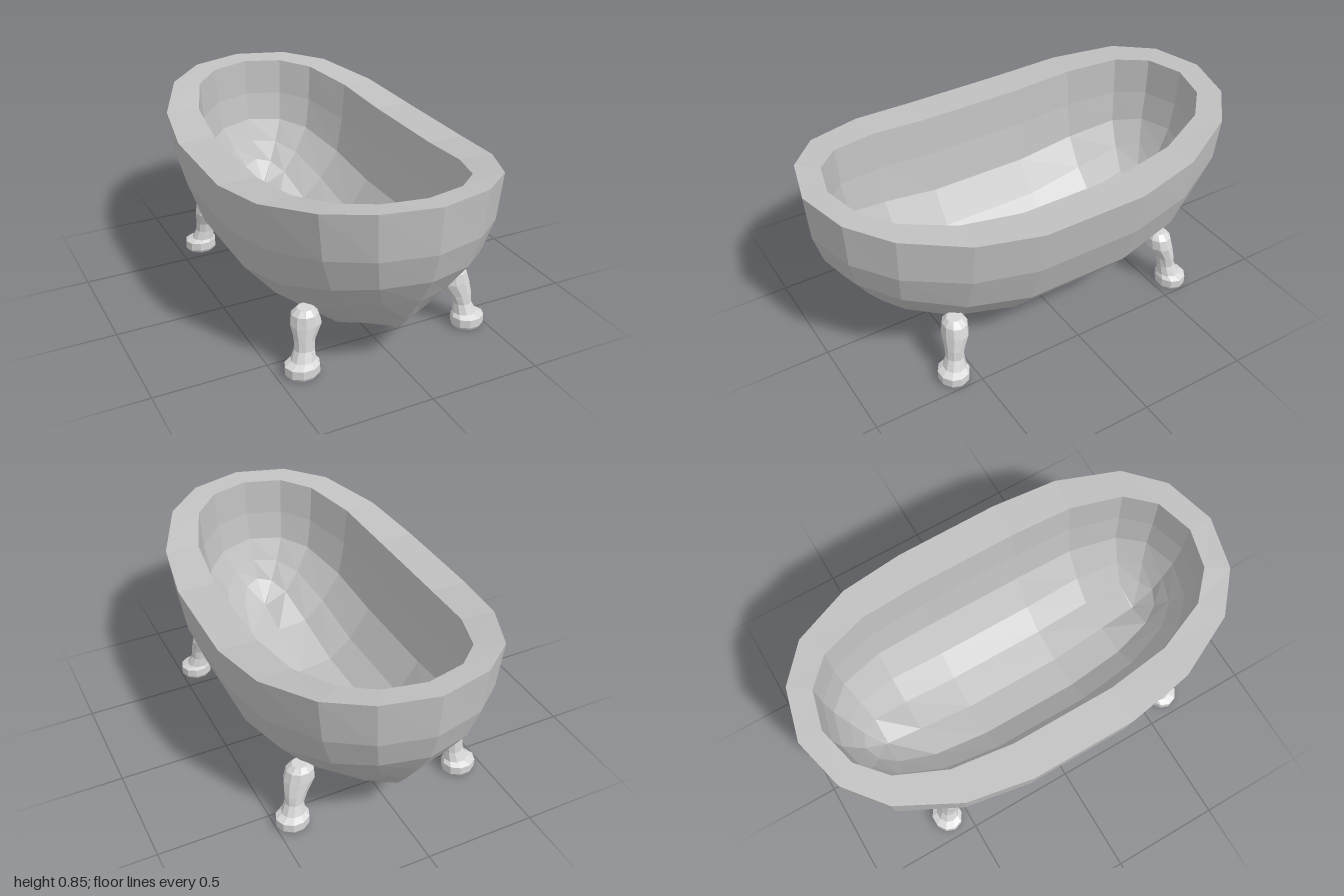
import * as THREE from 'three';

const enamel = new THREE.MeshStandardMaterial({ name: 'enamelGrey', color: 0xc0c0c0, flatShading: true });
const metal = new THREE.MeshStandardMaterial({ name: 'legGrey', color: 0xd6d6d6, flatShading: true });

// Quarter outline from the end to the side: x share, z, rise towards the end
const OUTER = [[0, 1, 1], [0.41, 0.94, 0.95], [0.7, 0.8, 0.76], [0.92, 0.535, 0.34], [1, 0.24, 0.03]];
const INNER = [[0, 0.895, 0.92], [0.43, 0.85, 0.86], [0.72, 0.74, 0.69], [0.93, 0.52, 0.32], [1, 0.24, 0.03]];

// One oval ring: half width, how far the end is drawn in, height at the side and at the end
function ring(outline, halfWidth, drawIn, ySide, yEnd) {
  const half = [...outline, ...[...outline].reverse().map(([x, z, w]) => [x, -z, w])];
  const full = [...half, ...half.slice(1, -1).reverse().map(([x, z, w]) => [-x, z, w])];
  return full.map(([x, z, w]) =>
    new THREE.Vector3(x * halfWidth, ySide + (yEnd - ySide) * w, z - Math.sign(z) * drawIn * w * w));
}

// Centre line below a ring, rising towards both ends
function centreLine(points, y, slope, maxZ) {
  return points.map((p) => {
    const z = Math.min(Math.abs(p.z), maxZ);
    return new THREE.Vector3(0, y + slope * (z - 0.24), Math.sign(p.z) * z);
  });
}

// Skin between successive rings, with optional end caps
function loft(name, rings, material, capped = false) {
  const pos = [];
  const tri = (...pts) => pts.forEach((p) => pos.push(p.x, p.y, p.z));
  for (let r = 0; r < rings.length - 1; r++) {
    const a = rings[r], b = rings[r + 1], n = a.length;
    for (let i = 0; i < n; i++) {
      const j = (i + 1) % n;
      tri(a[i], b[i], b[j]);
      tri(a[i], b[j], a[j]);
    }
  }
  if (capped) {
    const top = rings[0], bottom = rings[rings.length - 1];
    for (let i = 1; i < top.length - 1; i++) {
      tri(top[0], top[i], top[i + 1]);
      tri(bottom[0], bottom[i + 1], bottom[i]);
    }
  }
  const geo = new THREE.BufferGeometry();
  geo.setAttribute('position', new THREE.Float32BufferAttribute(pos, 3));
  geo.computeVertexNormals();
  const mesh = new THREE.Mesh(geo, material);
  mesh.name = name;
  return mesh;
}

// Leg sections, top to bottom: heights, then [centre, radius] across and along the tub
const LEG_Y = [0.285, 0.262, 0.215, 0.155, 0.11, 0.066, 0.052, 0.014, 0];
const LEFT_X = [[0.365, 0.035], [0.367, 0.062], [0.373, 0.071], [0.397, 0.052], [0.407, 0.042],
  [0.416, 0.054], [0.425, 0.075], [0.425, 0.075], [0.425, 0.066]];
const RIGHT_X = [[-0.355, 0.035], [-0.358, 0.058], [-0.355, 0.069], [-0.37, 0.046], [-0.373, 0.045],
  [-0.382, 0.055], [-0.392, 0.077], [-0.392, 0.077], [-0.392, 0.068]];
const ALONG_Z = [[0.545, 0.035], [0.546, 0.054], [0.55, 0.057], [0.568, 0.042], [0.573, 0.04],
  [0.582, 0.05], [0.592, 0.068], [0.592, 0.068], [0.592, 0.06]];

function leg(name, across, end, shift) {
  const sides = 10;
  const rings = LEG_Y.map((y, k) => Array.from({ length: sides }, (_, i) => {
    const a = ((i + 0.5) / sides) * Math.PI * 2;
    const [cx, rx] = across[k], [cz, rz] = ALONG_Z[k];
    return new THREE.Vector3(cx + Math.sin(a) * rx, y, end * (cz + shift) + Math.cos(a) * rz);
  }));
  return loft(name, rings, metal, true);
}

export function createModel() {
  const model = new THREE.Group();
  model.name = 'bathtub';

  // Outside of the tub, from the rim down to the keel
  const outerRim = ring(OUTER, 0.585, 0, 0.735, 0.85);
  const lowest = ring(OUTER, 0.19, 0.22, 0.062, 0.25);
  model.add(loft('tubOutside', [
    outerRim,
    ring(OUTER, 0.555, 0.012, 0.53, 0.645),
    ring(OUTER, 0.485, 0.05, 0.33, 0.51),
    ring(OUTER, 0.345, 0.13, 0.165, 0.38),
    lowest,
    centreLine(lowest, 0.035, 0.29, 0.72),
  ], enamel));

  // Broad rim
  const innerRim = ring(INNER, 0.415, 0, 0.735, 0.85);
  model.add(loft('rim', [innerRim, outerRim], enamel));

  // Basin, from the floor line up to the rim
  const floorEdge = ring(INNER, 0.16, 0.14, 0.12, 0.36);
  model.add(loft('basin', [
    centreLine(floorEdge, 0.105, 0.3, 0.68),
    floorEdge,
    ring(INNER, 0.27, 0.09, 0.21, 0.45),
    ring(INNER, 0.37, 0.04, 0.36, 0.55),
    ring(INNER, 0.4, 0.012, 0.55, 0.68),
    innerRim,
  ], enamel));

  // Four legs
  model.add(
    leg('frontLeftLeg', LEFT_X, 1, 0.006),
    leg('frontRightLeg', RIGHT_X, 1, 0.024),
    leg('backLeftLeg', LEFT_X, -1, -0.01),
    leg('backRightLeg', RIGHT_X, -1, 0),
  );
  return model;
}
